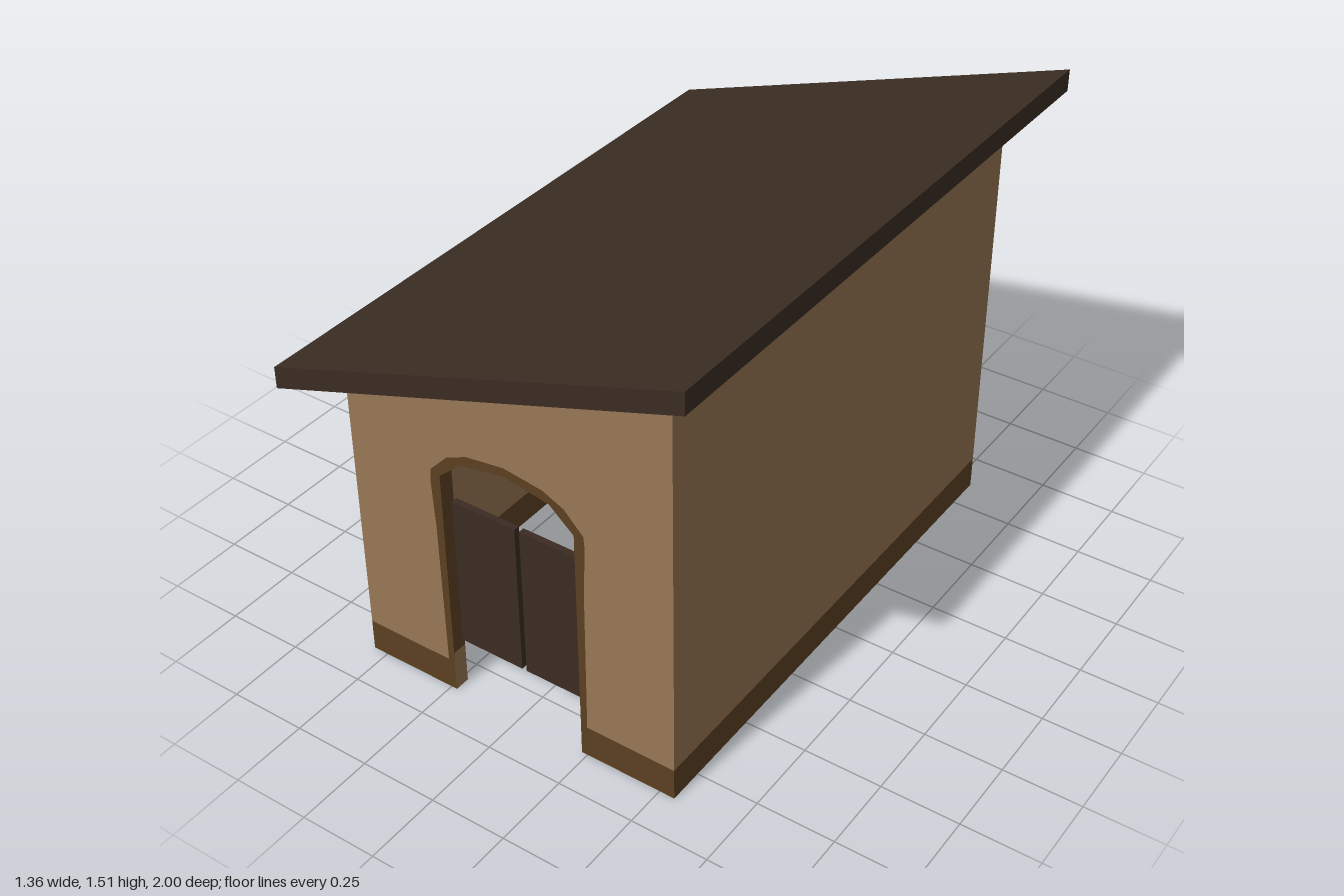
import * as THREE from 'three';

const mat = (name, color) => {
  const m = new THREE.MeshStandardMaterial({ color, side: THREE.DoubleSide });
  m.name = name;
  return m;
};

export function createModel() {
  const plaster = mat('plaster', 0x977755);
  const trim = mat('brown trim', 0x5c4022);
  const timber = mat('dark timber', 0x3b2c23);
  const house = new THREE.Group();
  house.name = 'shed';

  const W = 0.55, D = 0.865, BASE = 0.107;   // half width, half depth, plinth height
  const RX = 0.68, RZ = 1, RIM = 0.07;       // roof half sizes and rim height
  const slope = (x) => 1.213 + 0.338 * x;    // line of the wall tops

  const add = (parent, name, geo, material) => {
    const m = new THREE.Mesh(geo, material);
    m.name = name;
    parent.add(m);
    return m;
  };
  const face = (pts) => new THREE.ShapeGeometry(
    new THREE.Shape(pts.map(([x, y]) => new THREE.Vector2(x, y))));

  // Quads joining two rows of points
  const strip = (a, b) => {
    const pos = [];
    for (let i = 0; i < a.length - 1; i++) {
      pos.push(...a[i], ...a[i + 1], ...b[i + 1], ...a[i], ...b[i + 1], ...b[i]);
    }
    const g = new THREE.BufferGeometry();
    g.setAttribute('position', new THREE.Float32BufferAttribute(pos, 3));
    g.computeVertexNormals();
    return g;
  };

  // Mirror a half outline (left side, ending on the centre line)
  const mirror = (half) => [...half, ...half.slice(0, -1).reverse().map(([x, y]) => [-x, y])];
  const opening = mirror([[-0.23, BASE], [-0.23, 0.79], [-0.15, 0.86], [0, 0.885]]);
  const surround = mirror([[-0.252, BASE], [-0.257, 0.6], [-0.265, 0.76], [-0.262, 0.8],
    [-0.2, 0.865], [-0.13, 0.897], [0, 0.915]]);

  // A flat wall: plinth, plaster and a scalloped band below the roof
  const wall = (name, half, top, depth, door) => {
    const g = new THREE.Group();
    g.name = name;
    const N = 180, upper = [], lower = [];
    for (let i = 0; i <= N; i++) {
      const x = half - (2 * half * i) / N;
      upper.push([x, top(x)]);
      lower.push([x, top(x) - depth(x)]);
    }
    add(g, 'plaster', face([[-half, BASE], ...(door ? surround : []), [half, BASE], ...lower]), plaster);
    add(g, 'scallopedBand', strip(lower.map((p) => [...p, 0]), upper.map((p) => [...p, 0])), trim);
    const spans = door ? [[-half, -0.23], [0.23, half]] : [[-half, half]];
    for (const [a, b] of spans) {
      add(g, 'plinth', face([[a, 0], [b, 0], [b, BASE], [a, BASE]]), trim);
    }
    house.add(g);
    return g;
  };

  const gable = (x) => 0.053 + 0.024 * Math.cos((2 * Math.PI * (x + 0.47)) / 0.125);
  const eave = (z) => 0.003 + 0.024 * Math.max(0, Math.cos((2 * Math.PI * z) / 0.113)) ** 2;
  const front = wall('frontWall', W, slope, gable, true);
  front.position.z = D;
  wall('backWall', W, slope, gable, false).position.z = -D;
  for (const s of [1, -1]) {
    const side = wall(s > 0 ? 'leftWall' : 'rightWall', D, () => slope(s * W), eave, false);
    side.rotation.y = (s * Math.PI) / 2;
    side.position.x = s * W;
  }

  // Painted surround of the doorway
  add(front, 'doorSurround', face([...surround, ...[...opening].reverse()]), trim);

  // Reveal of the doorway, with plain feet
  const JAMB = 0.05, FOOT = 0.14;
  const reveal = opening.map(([x, y]) => [x, Math.max(y, FOOT)]);
  add(front, 'doorReveal', strip(reveal.map((p) => [...p, 0]), reveal.map((p) => [...p, -JAMB])), trim);
  for (const x of [-0.23, 0.23]) {
    add(front, 'revealFoot', strip([[x, 0, 0], [x, FOOT, 0]], [[x, 0, -JAMB], [x, FOOT, -JAMB]]), plaster);
  }

  // Pair of half-height doors
  for (const s of [1, -1]) {
    add(house, s > 0 ? 'leftDoor' : 'rightDoor', new THREE.BoxGeometry(0.221, 0.51, 0.02), timber)
      .position.set(s * 0.1185, 0.42, D - JAMB);
  }

  // Roof: a sloping sheet with a rim hanging from all four edges
  const lift = (x, y) => slope(x) + y;
  const corners = [[-RX, RZ], [RX, RZ], [RX, -RZ], [-RX, -RZ], [-RX, RZ]];
  const ring = (y) => corners.map(([x, z]) => [x, lift(x, y), z]);
  const top = ring(RIM), bottom = ring(0);
  const roof = new THREE.Group();
  roof.name = 'roof';
  house.add(roof);
  add(roof, 'roofSheet', strip([top[0], top[1]], [top[3], top[2]]), timber);
  add(roof, 'roofRim', strip(bottom, top), timber);

  return house;
}
